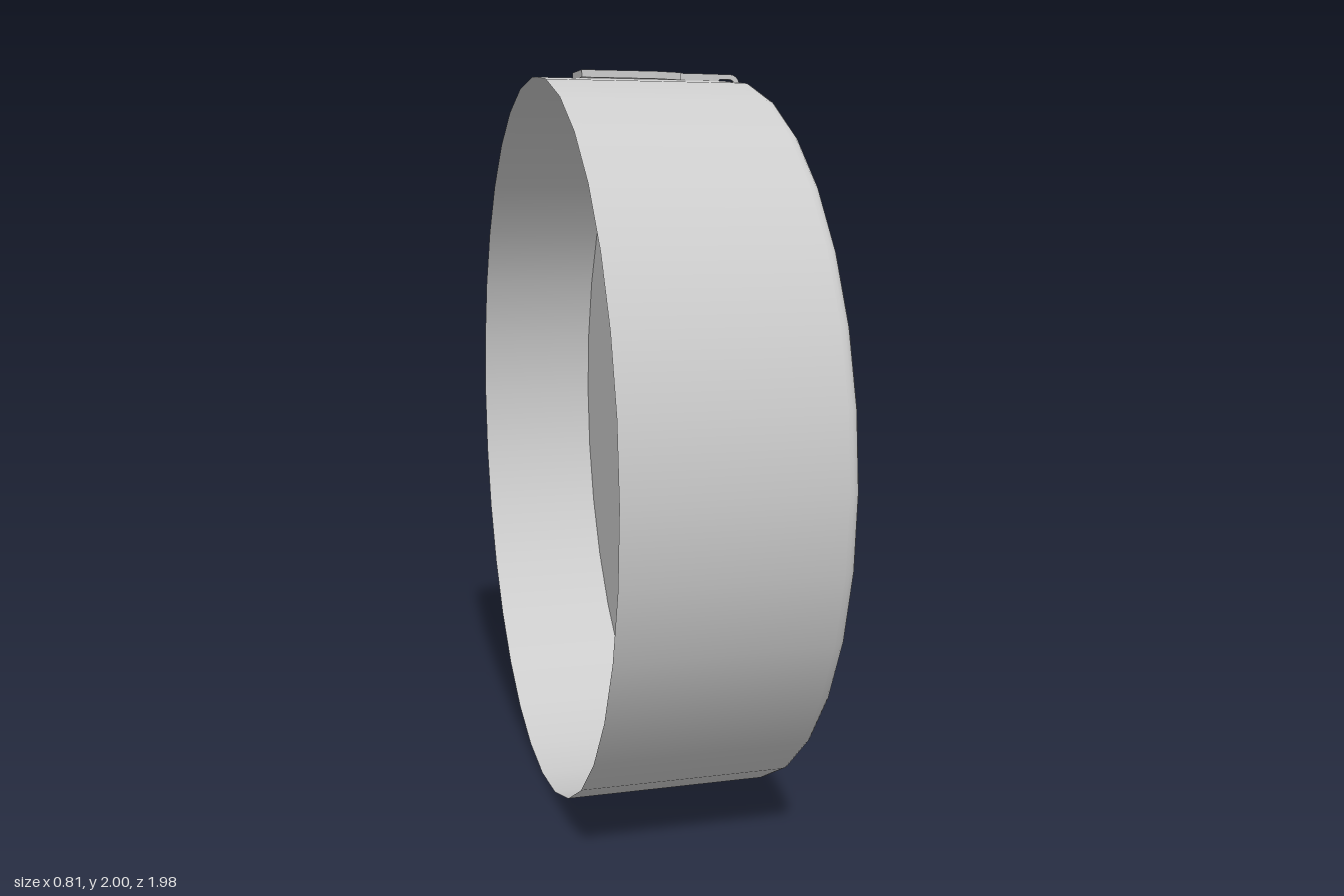
import * as THREE from 'three';

const CY = 0.992; // height of the drum axis

export function createModel() {
  const model = new THREE.Group();
  const grey = new THREE.MeshStandardMaterial({ color: 0xcccccc, side: THREE.DoubleSide });
  const black = new THREE.MeshStandardMaterial({ color: 0x080808 });

  const add = (name, geometry, material = grey) => {
    const mesh = new THREE.Mesh(geometry, material);
    mesh.name = name;
    model.add(mesh);
    return mesh;
  };

  // Surface turned about the x axis from [x, radius] points; each call is one smooth piece
  const turn = (name, profile, segments, material) => {
    const points = profile.map(([x, r]) => new THREE.Vector2(r, x));
    const mesh = add(name, new THREE.LatheGeometry(points, segments), material);
    mesh.rotation.z = -Math.PI / 2;
    mesh.position.y = CY;
  };

  // Quarter-round run of [x, radius] points about a centre
  const arc = (cx, cr, rad, from, to, n = 5) =>
    Array.from({ length: n + 1 }, (_, i) => {
      const a = from + (to - from) * i / n;
      return [cx + rad * Math.cos(a), cr + rad * Math.sin(a)];
    });

  // Drum: open at the back, rounded over at the front
  turn('drumWall', [[-0.41, 0.99], [0.13, 0.99]], 32);
  turn('drumRim', arc(0.13, 0.96, 0.03, Math.PI / 2, 0), 32);
  turn('frontFace', [[0.16, 0.96], [0.16, 0]], 32, black);
  turn('innerPanel', [[-0.05, 0.989], [-0.05, 0]], 32);

  // Hub with a small fillet at its foot, and a stepped cap
  turn('hubFillet', arc(0.18, 0.285, 0.02, Math.PI, Math.PI * 1.5), 48);
  turn('hubWall', [[0.18, 0.265], [0.312, 0.265]], 48);
  turn('hubRing', [[0.312, 0.265], [0.312, 0.2]], 48);
  turn('capWall', [[0.3, 0.218], [0.398, 0.218]], 48);
  turn('capBevel', [[0.398, 0.218], [0.404, 0.212]], 48);
  turn('capFace', [[0.404, 0.212], [0.404, 0]], 48);

  // Flat tag on top, tapering into a narrow neck
  const half = [[-0.285, 0.06], [-0.08, 0.06], [0, 0.033], [0.005, 0.012], [0.1, 0.009], [0.12, 0.004]];
  const outline = [...half, ...half.map(([x, z]) => [x, -z]).reverse()];
  const tag = new THREE.ExtrudeGeometry(
    new THREE.Shape(outline.map(([x, z]) => new THREE.Vector2(x, z))),
    { depth: 0.02, bevelEnabled: false });
  tag.rotateX(-Math.PI / 2);
  add('tag', tag).position.set(0, 1.98, -0.003);

  // Thin strip that hooks over the front rim
  const hook = new THREE.Shape();
  hook.moveTo(0.1, 2);
  hook.lineTo(0.15, 2);
  hook.absarc(0.15, 1.971, 0.029, Math.PI / 2, 0, true);
  hook.lineTo(0.179, 1.915);
  hook.lineTo(0.165, 1.915);
  hook.lineTo(0.165, 1.971);
  hook.absarc(0.15, 1.971, 0.015, 0, Math.PI / 2, false);
  hook.lineTo(0.1, 1.986);
  const hookGeometry = new THREE.ExtrudeGeometry(hook, { depth: 0.008, bevelEnabled: false, curveSegments: 6 });
  add('hook', hookGeometry).position.z = -0.007;

  return model;
}
